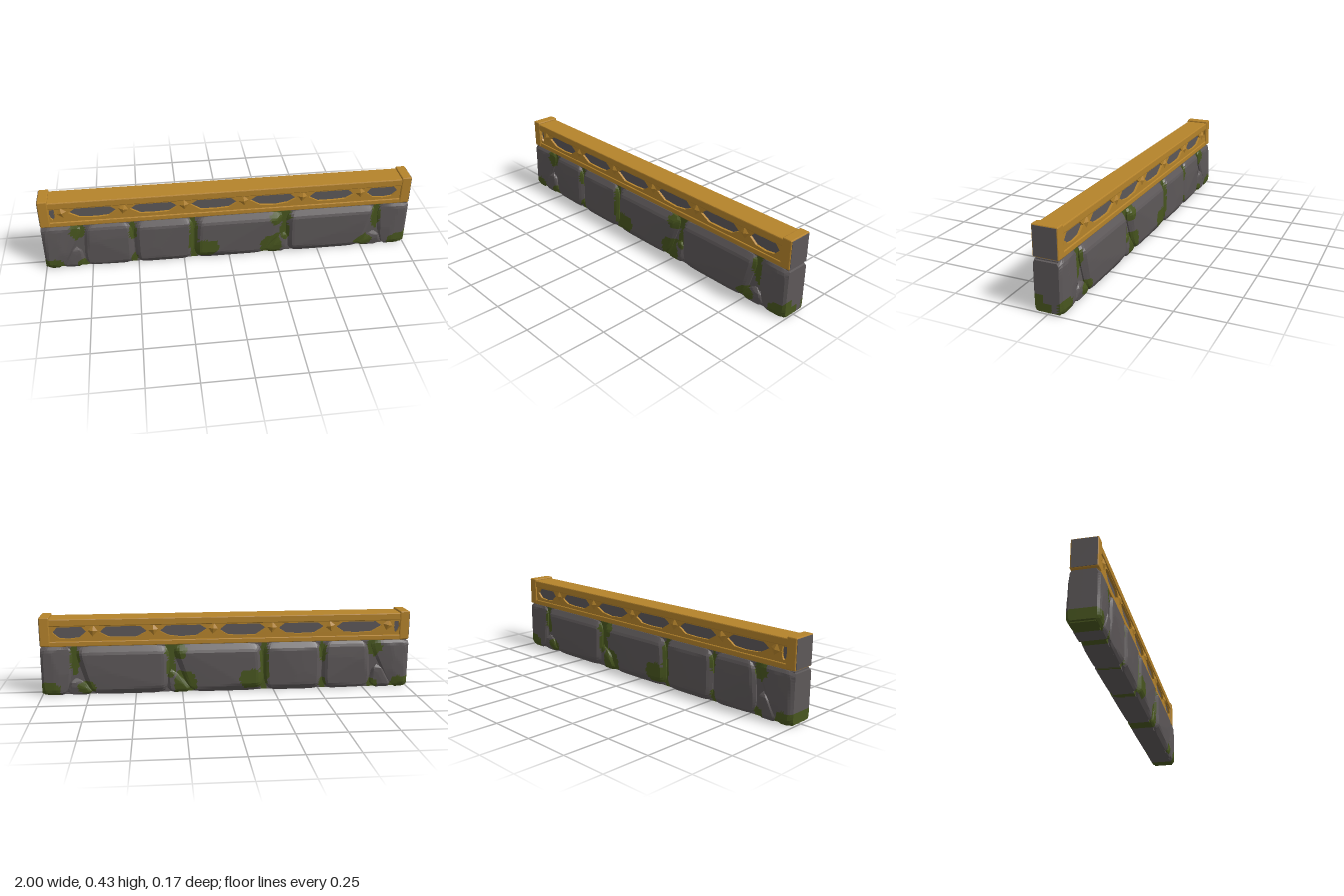
import * as THREE from 'three';
import { RoundedBoxGeometry } from 'three/addons/geometries/RoundedBoxGeometry.js';

const make = (name, color, flatShading = true) => {
  const m = new THREE.MeshStandardMaterial({ color, flatShading });
  m.name = name;
  return m;
};

function seeded(seed) {
  let s = seed;
  return () => (s = (s * 16807) % 2147483647) / 2147483647;
}

// Moss patches on the long faces: x, y, radius x, radius y
const MOSS = [
  [-0.97, 0.02, 0.07, 0.045], [-0.81, 0.23, 0.04, 0.05], [-0.8, 0.02, 0.03, 0.03],
  [-0.52, 0.21, 0.02, 0.06], [-0.52, 0.03, 0.02, 0.03], [-0.195, 0.13, 0.025, 0.16],
  [-0.13, 0.07, 0.075, 0.055], [0.28, 0.235, 0.06, 0.045], [0.235, 0.05, 0.06, 0.075],
  [0.31, 0.14, 0.025, 0.06], [0.82, 0.2, 0.025, 0.09], [0.76, 0.04, 0.05, 0.035],
  [0.97, 0.03, 0.075, 0.045],
];
function mossy(x, y, z) {
  if (x > 0.995) return y < (z > 0.02 ? 0.092 : z > -0.02 ? 0.048 : 0) || (z < -0.052 && y < 0.06);
  const ragged = 1 + 0.2 * Math.sin(x * 90 + y * 70) * Math.cos(y * 110);
  return MOSS.some(([a, b, rx, ry]) => ((x - a) / rx) ** 2 + ((y - b) / ry) ** 2 < ragged);
}

// Sort the triangles into a stone group and a moss group
function paintMoss(source) {
  const g = source.toNonIndexed(), p = g.attributes.position, sets = [[], []];
  for (let i = 0; i < p.count; i += 3) {
    const c = [0, 1, 2].map(k => (p.getComponent(i, k) + p.getComponent(i + 1, k) + p.getComponent(i + 2, k)) / 3);
    sets[mossy(...c) ? 1 : 0].push(i, i + 1, i + 2);
  }
  g.setIndex([...sets[0], ...sets[1]]);
  g.clearGroups();
  g.addGroup(0, sets[0].length, 0);
  g.addGroup(sets[0].length, sets[1].length, 1);
  g.computeVertexNormals();
  return g;
}

// A chiselled block: a box fitted to four corners, its faces cut by tilted planes
function blockGeometry([bl, br, tr, tl], depth, seed) {
  const rnd = seeded(seed * 7919 + 13);
  for (let i = 0; i < 5; i++) rnd();
  const cuts = Array.from({ length: 4 }, () => [rnd() - 0.5, rnd() - 0.5, rnd() * 0.004]);
  const w = (br[0] - bl[0] + tr[0] - tl[0]) / 2, h = (tl[1] - bl[1] + tr[1] - br[1]) / 2;
  const g = new THREE.BoxGeometry(1, 1, 1, Math.max(12, Math.round(w / 0.014)), 18, 6);
  const p = g.attributes.position;
  for (let i = 0; i < p.count; i++) {
    const u = p.getX(i) + 0.5, v = p.getY(i) + 0.5;
    const mix = k => (bl[k] * (1 - u) + br[k] * u) * (1 - v) + (tl[k] * (1 - u) + tr[k] * u) * v;
    let x = mix(0), y = mix(1);
    const du = Math.min(u, 1 - u) * w, dv = Math.min(v, 1 - v) * h;
    let z = Math.min(depth, 0.063 + du * 0.75, 0.063 + dv * 0.6, 0.056 + (du + dv) * 0.5);
    for (const [a, b, c] of cuts) z = Math.min(z, depth + c + (a * (u - 0.5) + b * (v - 0.5)) * 0.04);
    // Round the outline corners, keeping the wall ends flush
    if (Math.abs(x) < 0.999) x -= (u - 0.5) * 0.045 * Math.abs(2 * v - 1) ** 5;
    y -= (v - 0.5) * 0.02 * Math.abs(2 * u - 1) ** 8;
    p.setXYZ(i, x, y, p.getZ(i) * 2 * z);
  }
  return paintMoss(g);
}

export function createModel() {
  const stone = make('stone grey', 0x5d5859);
  const moss = make('moss green', 0x48561f);
  const gold = make('gold', 0xb5832b);
  const model = new THREE.Group();
  model.name = 'ornateWall';
  const add = (parent, name, geometry, material, x = 0, y = 0, z = 0) => {
    const mesh = new THREE.Mesh(geometry, material);
    mesh.name = name;
    mesh.position.set(x, y, z);
    parent.add(mesh);
    return mesh;
  };

  // Stone base: inner core and blocks
  const base = new THREE.Group();
  base.name = 'stoneBase';
  model.add(base);
  const core = new THREE.BoxGeometry(1.98, 0.262, 0.112, 140, 20, 2).translate(0, 0.133, 0);
  add(base, 'core', paintMoss(core), [stone, moss]);
  const T = 0.266;
  const blocks = [
    [[[-1, 0], [-0.9, 0], [-0.775, T], [-1, T]], 0.079],
    [[[-0.925, 0], [-0.785, 0], [-0.8, 0.13], [-0.85, 0.13]], 0.076],
    [[[-0.79, 0.004], [-0.52, 0], [-0.52, T], [-0.775, T]], 0.081],
    [[[-0.515, 0], [-0.2, 0], [-0.19, T], [-0.515, T]], 0.085],
    [[[-0.195, 0], [0.215, 0], [0.31, T], [-0.185, T]], 0.087],
    [[[0.19, 0], [0.335, 0], [0.33, 0.13], [0.285, 0.13]], 0.077],
    [[[0.325, 0], [0.75, 0], [0.825, T], [0.315, T]], 0.086],
    [[[0.72, 0], [0.875, 0], [0.85, 0.09], [0.78, 0.09]], 0.075],
    [[[0.855, 0], [1, 0], [1, T], [0.825, T]], 0.078],
  ];
  blocks.forEach(([corners, depth], i) =>
    add(base, 'stoneBlock' + (i + 1), blockGeometry(corners, depth, i + 1), [stone, moss]));

  // Golden trim around a stone panel
  const trim = new THREE.Group();
  trim.name = 'goldTrim';
  model.add(trim);
  add(trim, 'innerPanel', new THREE.BoxGeometry(1.96, 0.13, 0.09), stone, 0, 0.34, 0);
  add(trim, 'topRail', new RoundedBoxGeometry(1.95, 0.04, 0.126, 1, 0.005), gold, 0, 0.395, 0);
  add(trim, 'bottomRail', new RoundedBoxGeometry(1.95, 0.028, 0.126, 1, 0.004), gold, 0, 0.28, 0);

  // Pierced lattice with an angular opening between each pair of studs
  const studs = [-0.88, -0.56, -0.24, 0.08, 0.4, 0.72];
  const lattice = new THREE.Shape([[-0.96, 0.27], [0.96, 0.27], [0.96, 0.4], [-0.96, 0.4]]
    .map(a => new THREE.Vector2(...a)));
  const ends = [-0.98, ...studs, 0.965];
  const rnd = seeded(4242);
  for (let i = 0; i < ends.length - 1; i++) {
    const a = ends[i] + 0.034, b = ends[i + 1] - 0.034, w = b - a, j = () => (rnd() - 0.5) * 0.008;
    lattice.holes.push(new THREE.Path([
      [a, 0.344 + j()], [a + w * 0.22, 0.315 + j()], [a + w * 0.55, 0.308 + j()], [a + w * 0.82, 0.314 + j()],
      [b, 0.342 + j()], [b - w * 0.14, 0.371], [a + w * 0.14, 0.371],
    ].map(q => new THREE.Vector2(...q))));
  }
  const latticeGeometry = new THREE.ExtrudeGeometry(lattice, { depth: 0.014, bevelEnabled: false });
  for (const s of [1, -1]) {
    add(trim, s > 0 ? 'frontLattice' : 'backLattice', latticeGeometry, gold, 0, 0, s > 0 ? 0.043 : -0.057);
    studs.forEach((x, i) => {
      const stud = add(trim, 'diamondStud', new THREE.OctahedronGeometry(1), gold, x, 0.35, s * 0.05);
      stud.scale.set(0.044, 0.051, 0.018);
      stud.rotation.z = [0.25, -0.2, 0.05, 0.12, -0.08, 0.1][i];
    });
  }

  // End posts with inset stone faces
  for (const s of [1, -1]) {
    const side = s > 0 ? 'left' : 'right';
    add(trim, side + 'Post', new RoundedBoxGeometry(0.052, 0.156, 0.132, 1, 0.005), gold, s * 0.972, 0.347, 0);
    add(trim, side + 'EndPlate', new THREE.BoxGeometry(0.006, 0.146, 0.121), stone, s * 0.997, 0.347, 0);
  }
  return model;
}
